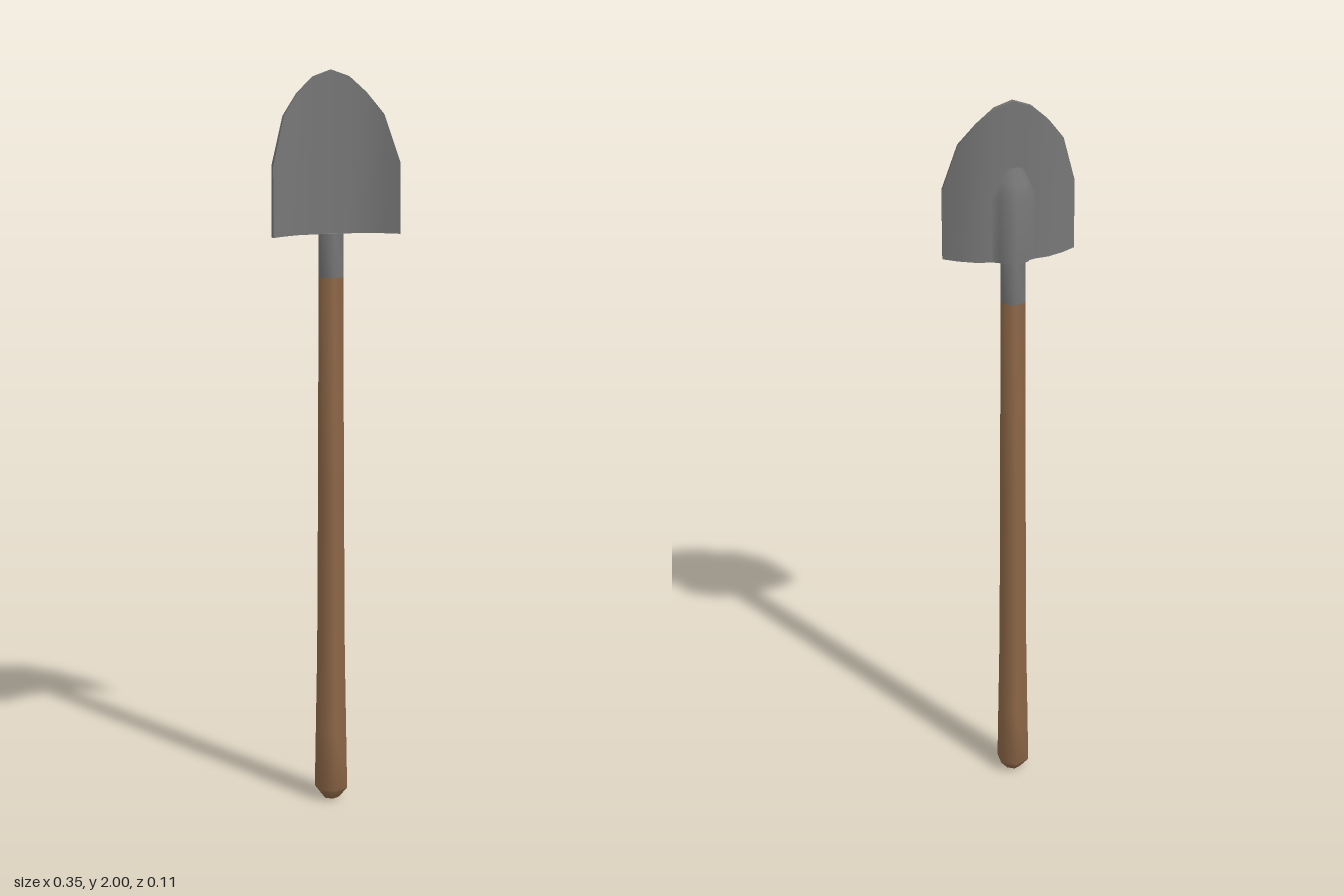
import * as THREE from 'three';
import { toCreasedNormals } from 'three/addons/utils/BufferGeometryUtils.js';

const AXIS_Z = -0.008;

const wood = new THREE.MeshStandardMaterial({ color: 0x8f6848 });
wood.name = 'wood';
const steel = new THREE.MeshStandardMaterial({ color: 0x777777 });
steel.name = 'steel';

function named(name, geometry, material) {
  const mesh = new THREE.Mesh(geometry, material);
  mesh.name = name;
  return mesh;
}

// Six-sided turned part, with a corner facing the front
function turned(name, profile, material) {
  const points = profile.map(([r, y]) => new THREE.Vector2(r, y));
  const mesh = named(name, toCreasedNormals(new THREE.LatheGeometry(points, 6).toNonIndexed(), 1.1), material);
  mesh.position.z = AXIS_Z;
  return mesh;
}

// Collects four-cornered faces, corners counter-clockwise from outside
function fromQuads(quads, crease) {
  const positions = [];
  for (const [a, b, c, d] of quads) positions.push(...a, ...b, ...c, ...a, ...c, ...d);
  const geometry = new THREE.BufferGeometry();
  geometry.setAttribute('position', new THREE.Float32BufferAttribute(positions, 3));
  return toCreasedNormals(geometry, crease);
}

// Curved plate: each column is [x, top y, front z, back z]
function bladeGeometry() {
  const half = [
    [0, 2.0, 0, -0.014],
    [0.048, 1.983, 0, -0.014],
    [0.094, 1.941, 0.006, -0.007],
    [0.137, 1.884, 0.025, 0.013],
    [0.174, 1.757, 0.051, 0.038],
  ];
  const columns = [
    ...half.slice(1).reverse().map(([x, ...rest]) => [-x, ...rest]),
    ...half,
  ];
  const base = 1.57;
  const corners = columns.map(([x, top, front, back]) => {
    const backX = x * 1.008;
    return {
      fb: [x, base, front], ft: [x, top, front],
      bb: [backX, base, back], bt: [backX, top, back],
    };
  });
  const quads = [];
  for (let i = 0; i < corners.length - 1; i++) {
    const l = corners[i], r = corners[i + 1];
    quads.push(
      [l.fb, r.fb, r.ft, l.ft],
      [r.bb, l.bb, l.bt, r.bt],
      [l.ft, r.ft, r.bt, l.bt],
      [l.bb, r.bb, r.fb, l.fb],
    );
  }
  const l = corners[0], r = corners[corners.length - 1];
  quads.push([l.bb, l.fb, l.ft, l.bt], [r.fb, r.bb, r.bt, r.ft]);
  return fromQuads(quads, 0.6);
}

// Raised rib behind the blade, fading into it at the top
function ribGeometry() {
  const section = [[-0.055, 0], [-0.04, 0.007], [-0.037, 0.014], [0, 0.033],
    [0.037, 0.014], [0.04, 0.007], [0.055, 0]];
  const rows = [[1.57, 1, 1], [1.75, 1, 1], [1.785, 0.8, 0.55], [1.825, 0.45, 0]];
  const rings = rows.map(([y, width, depth]) =>
    section.map(([x, d]) => [x * width, y, -0.0135 - d * depth]));
  const quads = [];
  for (let j = 0; j < rings.length - 1; j++) {
    for (let i = 0; i < section.length - 1; i++) {
      quads.push([rings[j][i + 1], rings[j][i], rings[j + 1][i], rings[j + 1][i + 1]]);
    }
  }
  // Underside of the rib
  const centre = [0, 1.57, -0.0135];
  for (let i = 0; i < section.length - 1; i++) {
    quads.push([centre, rings[0][i], rings[0][i + 1], centre]);
  }
  return fromQuads(quads, 1.1);
}

export function createModel() {
  const shovel = new THREE.Group();
  shovel.name = 'shovel';
  shovel.add(
    turned('handle', [
      [0, 0], [0.022, 0.002], [0.046, 0.03], [0.043, 0.2],
      [0.039, 0.42], [0.036, 0.9], [0.034, 1.455],
    ], wood),
    turned('socket', [[0.034, 1.455], [0.034, 1.572], [0, 1.572]], steel),
    named('blade', bladeGeometry(), steel),
    named('bladeRib', ribGeometry(), steel),
  );
  return shovel;
}
